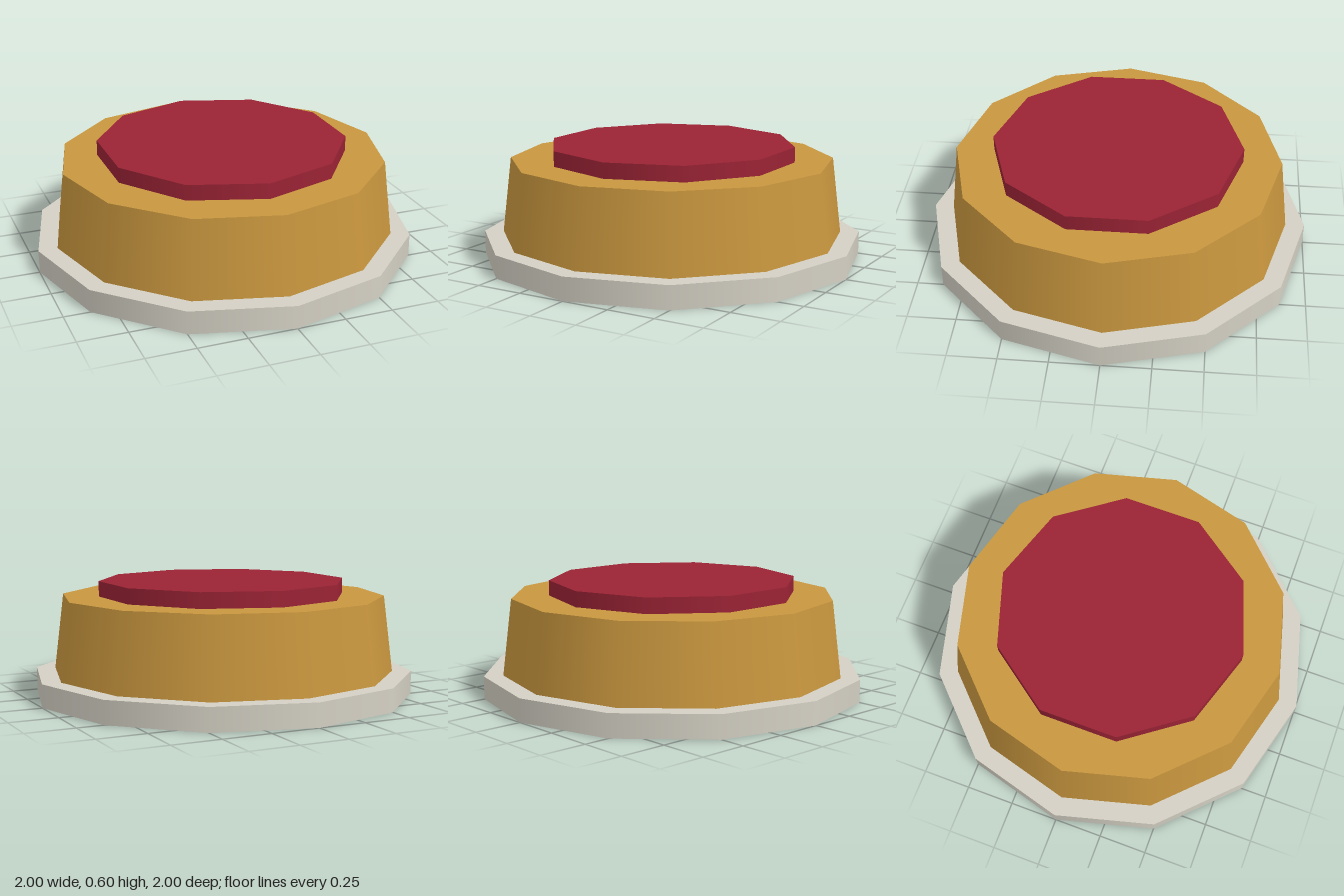
import * as THREE from 'three';

const material = (name, color) => {
  const m = new THREE.MeshStandardMaterial({ color });
  m.name = name;
  return m;
};

export function createModel() {
  const group = new THREE.Group();
  group.name = 'pushButton';

  // Each tier is a faceted disc with smooth-shaded sides and flat caps
  const addTier = (name, topRadius, bottomRadius, bottom, top, sides, mat) => {
    const geometry = new THREE.CylinderGeometry(topRadius, bottomRadius, top - bottom, sides);
    const mesh = new THREE.Mesh(geometry, mat);
    mesh.name = name;
    mesh.position.y = (bottom + top) / 2;
    group.add(mesh);
  };

  addTier('basePlate', 1, 1, 0, 0.12, 12, material('pale stone', 0xd4d0c4));
  addTier('housing', 0.85, 0.9, 0.12, 0.52, 12, material('brass', 0xc8963e));
  addTier('buttonCap', 0.65, 0.65, 0.52, 0.6, 10, material('deep red', 0x9b2335));

  return group;
}
